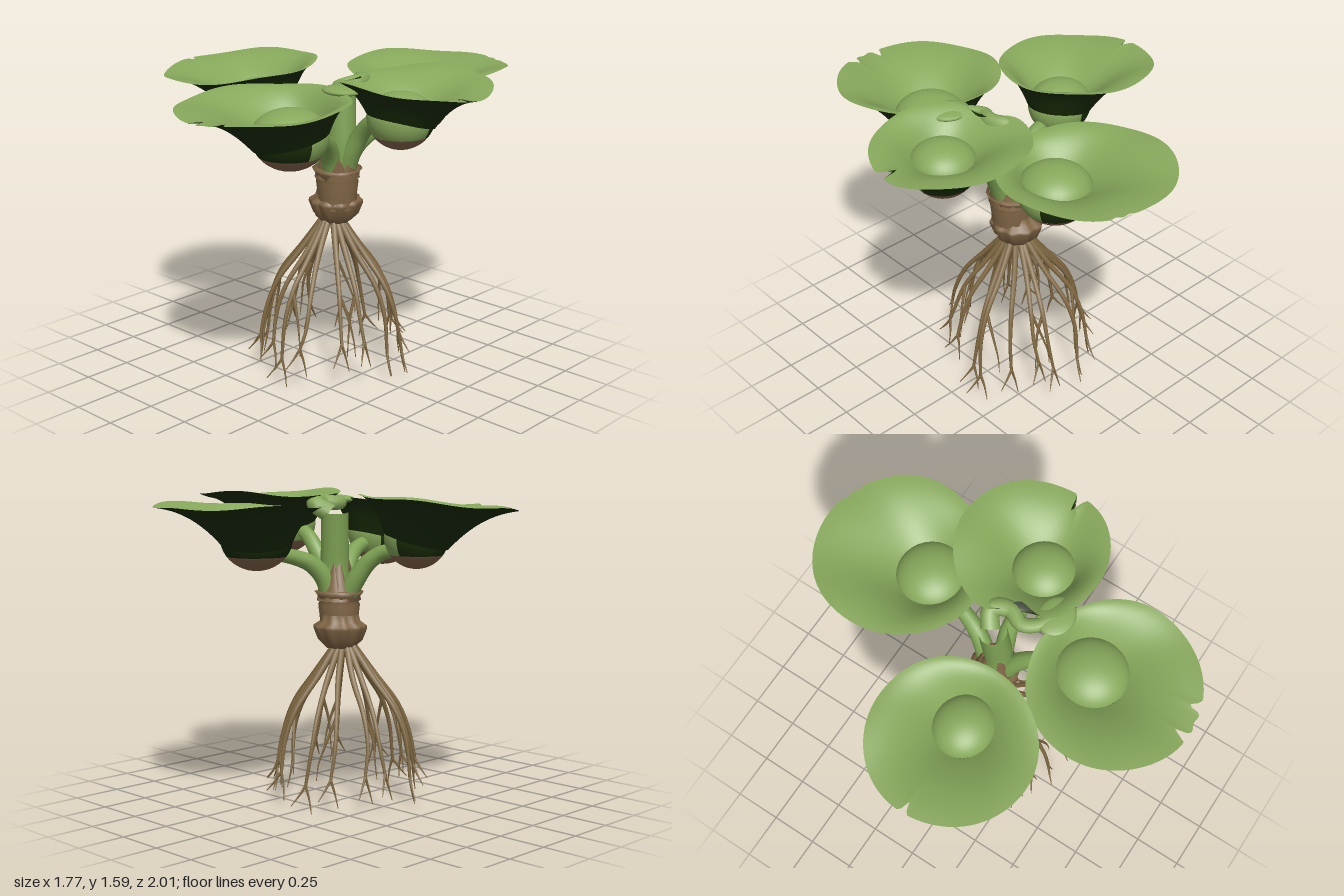
import * as THREE from 'three';

const mat = (name, color) => Object.assign(new THREE.MeshStandardMaterial({ color }), { name });
const V = (x, y, z) => new THREE.Vector3(x, y, z);
const { cos, sin, PI } = Math;

// Small seeded random generator
function seeded(s) {
  return () => (s = (s * 16807) % 2147483647) / 2147483647;
}

// Tube along a smooth curve whose radius runs from r0 to r1
function taperTube(pts, r0, r1, seg = 14, sides = 8) {
  const curve = new THREE.CatmullRomCurve3(pts);
  const g = new THREE.TubeGeometry(curve, seg, 1, sides);
  const p = g.attributes.position, v = V(0, 0, 0);
  for (let i = 0; i <= seg; i++) {
    const c = curve.getPointAt(i / seg), r = r0 + (r1 - r0) * (i / seg);
    for (let j = 0; j <= sides; j++) {
      const k = i * (sides + 1) + j;
      v.fromBufferAttribute(p, k).sub(c).multiplyScalar(r).add(c);
      p.setXYZ(k, v.x, v.y, v.z);
    }
  }
  return g;
}

// Leaf blade: a ring around the float flares out to a wavy, notched rim
function bladeGeometry(L, under) {
  const N = 180, M = 16, pos = [], idx = [];
  const [bx, by, bz] = L.bulb, [sx, , sz] = L.size, k = under ? 0.99 : 0.88;
  for (let i = 0; i <= M; i++) {
    const t = i / M, s = t ** 1.4, h = 1 - (1 - s) ** 2;
    for (let j = 0; j < N; j++) {
      const a = (j / N) * PI * 2, c = cos(a), n = sin(a);
      let f = 1 + 0.012 * cos(3 * a + L.rim[0] * 9);
      for (const [na, depth, w] of L.notches) {
        const d = Math.atan2(sin(a - na), cos(a - na));
        f -= depth * Math.exp(-((d / w) ** 2)) * t ** 6;
      }
      const d = c * L.open[0] + n * L.open[1];
      const x0 = bx + c * sx * k, z0 = bz + n * sz * k;
      const x1 = L.rim[0] + c * L.rim[2] * f, z1 = L.rim[1] + n * L.rim[3] * f;
      const y0 = by + (under ? -0.015 + 0.04 * d : 0.04 + 0.02 * d);
      const y1 = L.height(a) + 0.006 * cos(5 * a + bx * 7);
      pos.push(x0 + (x1 - x0) * s, y0 + (y1 - y0) * h - (under ? 0.008 * (1 - t ** 8) : 0), z0 + (z1 - z0) * s);
    }
  }
  for (let i = 0; i < M; i++) for (let j = 0; j < N; j++) {
    const a = i * N + j, b = i * N + (j + 1) % N, c = a + N, d = b + N;
    if (under) idx.push(a, c, b, b, c, d);
    else idx.push(a, b, c, b, d, c);
  }
  const g = new THREE.BufferGeometry();
  g.setAttribute('position', new THREE.Float32BufferAttribute(pos, 3));
  g.setIndex(idx);
  g.computeVertexNormals();
  return g;
}

// Piece of a float: a sphere section with a flattened upper half
function floatGeometry(phi, phiLen, theta, thetaLen) {
  const g = new THREE.SphereGeometry(1, 32, 12, phi, phiLen, theta, thetaLen);
  const p = g.attributes.position, q = g.attributes.normal;
  for (let i = 0; i < p.count; i++) if (p.getY(i) > 0) {
    p.setY(i, p.getY(i) * 0.75);
    const n = V(q.getX(i), q.getY(i) / 0.75, q.getZ(i)).normalize();
    q.setXYZ(i, n.x, n.y, n.z);
  }
  return g;
}

export function createModel() {
  const model = new THREE.Group();
  model.name = 'floatingPlant';
  const leafGreen = mat('leafGreen', 0x87a85b);
  const darkGreen = mat('darkGreen', 0x192b06);
  const stemGreen = mat('stemGreen', 0x7fa354);
  const floatBrown = mat('floatBrown', 0x84654b);
  const trunkBrown = mat('trunkBrown', 0x7f6444);
  const rootBrown = mat('rootBrown', 0x826a42);
  const add = (parent, geo, m, name) => {
    const mesh = new THREE.Mesh(geo, m);
    mesh.name = name;
    parent.add(mesh);
    return mesh;
  };

  // Four leaves: float centre and radii, rim [x, z, rx, rz], bare side of the float and its half angle, stem path
  const leaves = [
    { name: 'rightLeaf', bulb: [-0.36, 1.38, 0.11], size: [0.165, 0.16, 0.155], rim: [-0.49, 0.13, 0.39, 0.395],
      open: [0.9, -0.4], bare: 1.2, notches: [[PI, 0.15, 0.03]], height: a => 1.55 + 0.02 * cos(a) - 0.03 * sin(a),
      stem: [V(0.03, 1.04, 0), V(-0.03, 1.15, 0.02), V(-0.09, 1.24, 0.05), V(-0.16, 1.29, 0.08), V(-0.27, 1.31, 0.1)] },
    { name: 'frontLeaf', bulb: [0.195, 1.36, 0.46], size: [0.185, 0.17, 0.19], rim: [0.155, 0.6, 0.415, 0.405],
      open: [0.5, -0.85], bare: 1.25, notches: [[1.65, 0.19, 0.035], [1.27, 0.14, 0.045], [1.46, 0.03, 0.06]],
      height: a => 1.525 - 0.022 * sin(a) + 0.008 * cos(a),
      stem: [V(0.08, 1.04, 0.04), V(0.1, 1.16, 0.08), V(0.13, 1.24, 0.14), V(0.16, 1.29, 0.22), V(0.18, 1.32, 0.32)] },
    { name: 'backLeaf', bulb: [0.2, 1.375, -0.445], size: [0.18, 0.165, 0.18], rim: [0.155, -0.59, 0.415, 0.415],
      open: [0.7, 0.7], bare: 1.2, notches: [[-1.28, 0.03, 0.05], [-1.12, 0.03, 0.04]],
      height: a => 1.535 - 0.008 * sin(a) + 0.01 * cos(2 * a),
      stem: [V(0.08, 1.04, -0.04), V(0.1, 1.16, -0.08), V(0.13, 1.23, -0.14), V(0.16, 1.265, -0.22), V(0.19, 1.29, -0.34)] },
    { name: 'leftLeaf', bulb: [0.49, 1.42, 0.01], size: [0.165, 0.16, 0.165], rim: [0.5, -0.075, 0.385, 0.365],
      open: [-0.3, 0.95], bare: 2, notches: [[0.13, 0.25, 0.045], [2.75, 0.3, 0.3]],
      height: a => 1.575 - 0.012 * cos(a) - 0.018 * cos(2 * a),
      stem: [V(0.11, 1.04, 0), V(0.16, 1.17, 0), V(0.22, 1.28, -0.01), V(0.3, 1.36, 0), V(0.4, 1.4, 0.01)] },
  ];
  for (const L of leaves) {
    const leaf = new THREE.Group();
    leaf.name = L.name;
    model.add(leaf);
    add(leaf, bladeGeometry(L, false), leafGreen, 'bladeTop');
    add(leaf, bladeGeometry(L, true), darkGreen, 'bladeUnderside');
    const mid = 0.42 * PI, cut = 0.69 * PI, half = L.bare, away = Math.atan2(-L.open[1], L.open[0]);
    const pieces = [
      ['floatTop', leafGreen, 0, PI * 2, 0, mid],
      ['floatBareSide', leafGreen, away + PI - half, 2 * half, mid, cut - mid],
      ['floatDarkSide', darkGreen, away - PI + half, 2 * (PI - half), mid, cut - mid],
      ['floatBase', floatBrown, 0, PI * 2, cut, PI - cut],
    ];
    for (const [n, m, ...range] of pieces) {
      const b = add(leaf, floatGeometry(...range), m, n);
      b.position.set(...L.bulb);
      b.scale.set(...L.size);
    }
    add(leaf, taperTube(L.stem, 0.055, 0.034, 20, 12), stemGreen, 'stem');
  }

  // Young leaf curling up in the middle
  add(model, taperTube([V(0.09, 1.04, 0), V(0.1, 1.2, 0), V(0.09, 1.36, -0.01), V(0.08, 1.49, -0.02)], 0.075, 0.07, 18, 14),
    stemGreen, 'centreStem');
  add(model, taperTube([V(0.09, 1.48, -0.04), V(0.16, 1.53, -0.08), V(0.2, 1.54, 0), V(0.17, 1.53, 0.08), V(0.2, 1.53, 0.14), V(0.28, 1.54, 0.2)],
    0.05, 0.03, 24, 10), leafGreen, 'curledLeafStalk');
  const curl = add(model, new THREE.SphereGeometry(1, 24, 10), leafGreen, 'curledLeaf');
  curl.position.set(0.285, 1.545, 0.2);
  curl.scale.set(0.105, 0.022, 0.09);
  const bud = add(model, new THREE.SphereGeometry(0.035, 12, 8), darkGreen, 'darkBud');
  bud.position.set(0.085, 1.11, 0.085);
  bud.scale.set(1, 0.6, 0.7);

  // Trunk with overlapping sheath bands
  const profile = [[0.1, 0.88], [0.1, 0.95], [0.108, 1.02], [0.1, 1.035], [0.11, 1.04], [0.112, 1.065], [0.128, 1.085], [0.1, 1.09], [0.0, 1.1]];
  const trunk = add(model, new THREE.LatheGeometry(profile.map(p => new THREE.Vector2(...p)), 14), trunkBrown, 'trunk');
  trunk.position.x = 0.07;

  // Ribbed collar above the roots
  const collar = new THREE.LatheGeometry(
    [[0, 0.79], [0.07, 0.8], [0.11, 0.84], [0.132, 0.9], [0.13, 0.915], [0.1, 0.935], [0.09, 0.97]].map(p => new THREE.Vector2(...p)), 40);
  const cp = collar.attributes.position;
  for (let i = 0; i < cp.count; i++) {
    const k = 1 + 0.06 * cos(10 * Math.atan2(cp.getZ(i), cp.getX(i)));
    cp.setXYZ(i, cp.getX(i) * k, cp.getY(i), cp.getZ(i) * k);
  }
  collar.computeVertexNormals();
  add(model, collar, trunkBrown, 'rootCollar').position.set(0.047, 0, -0.015);

  // Torn sheath blades standing between the stems: angle, height, lean
  for (const [a, h, lean] of [[0.15, 0.15, 0.03], [2.0, 0.26, -0.05], [-2.3, 0.24, -0.06], [0.75, 0.12, 0.03], [-0.8, 0.2, -0.02], [-1.9, 0.2, -0.03]]) {
    const g = new THREE.ConeGeometry(0.06, h, 10, 4);
    g.scale(0.45, 1, 1);
    const p = g.attributes.position;
    for (let i = 0; i < p.count; i++) p.setX(i, p.getX(i) + lean * (p.getY(i) / h + 0.5));
    g.computeVertexNormals();
    const s = add(model, g, trunkBrown, 'sheath');
    s.position.set(0.07 + cos(a) * 0.088, 1.04 + h / 2, sin(a) * 0.088);
    s.rotation.y = -a;
  }

  // Fanned roots with forked tips and a few side rootlets
  const roots = new THREE.Group();
  roots.name = 'roots';
  model.add(roots);
  const rnd = seeded(77), count = 17;
  for (let i = 0; i < count; i++) {
    const a = (i / count) * PI * 2 + (rnd() - 0.5) * 0.25;
    const R = 0.34 + rnd() * 0.06, drop = i % 4 === 0 ? 0.15 : 0.19 + rnd() * 0.07;
    const at = (r, y, da = 0) => V(0.035 + cos(a + da) * r, y, sin(a + da) * r);
    const wob = (rnd() - 0.5) * 0.15, side = i % 2 ? 1 : -1;
    const path = [at(0.04, 0.82), at(R * 0.44, 0.65), at(R * 0.76, 0.49, wob), at(R * 0.92, 0.34, wob), at(R, drop, 0)];
    add(roots, taperTube(path, 0.018, 0.008, 16, 6), rootBrown, 'root');
    const low = Math.max(0.005, drop - 0.14);
    add(roots, taperTube([path[4], at(R + 0.025, drop - 0.05, 0.06), at(R + 0.06, low + 0.04, 0.12)], 0.008, 0.002, 5, 5), rootBrown, 'rootTip');
    add(roots, taperTube([path[4], at(R, drop - 0.06, -0.05), at(R + 0.01, low, -0.1)], 0.008, 0.002, 5, 5), rootBrown, 'rootTip');
    if (i % 3) add(roots, taperTube([path[2], at(R * 0.82, 0.38, wob + side * 0.14), at(R * 0.88, 0.25, side * 0.22), at(R * 0.9, 0.17, side * 0.24)],
      0.01, 0.002, 8, 5), rootBrown, 'rootlet');
  }
  return model;
}
